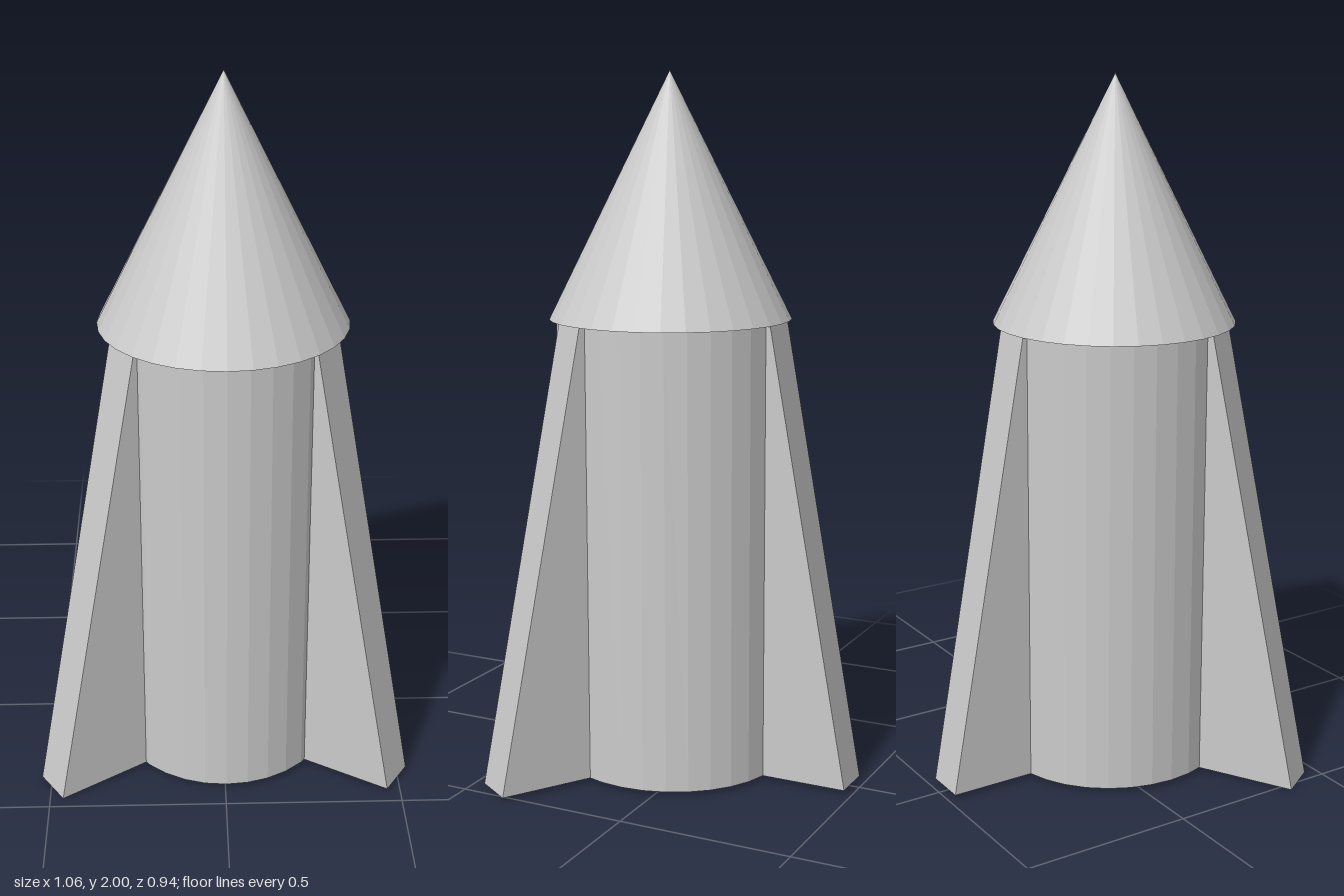
import * as THREE from 'three';

const SEGMENTS = 32;
const BASE_Y = 0.01, SHOULDER_Y = 1.31, TOP_Y = 2;

export function createModel() {
  const material = new THREE.MeshStandardMaterial({ color: 0xcccccc, flatShading: true });
  const model = new THREE.Group();
  model.name = 'rocket';

  // Everything shares one vertical axis, set forward of the origin
  const rocket = new THREE.Group();
  rocket.name = 'rocketAxis';
  rocket.position.set(0.003, 0, 0.095);
  model.add(rocket);

  const add = (name, geometry) => {
    const mesh = new THREE.Mesh(geometry, material);
    mesh.name = name;
    rocket.add(mesh);
    return mesh;
  };

  // Nose cone, overhanging the body
  const noseHeight = TOP_Y - SHOULDER_Y;
  const nose = add('noseCone', new THREE.ConeGeometry(0.345, noseHeight, SEGMENTS));
  nose.position.y = SHOULDER_Y + noseHeight / 2;

  // Hollow body tube with a thin wall, slightly oval
  const wall = [[0.298, SHOULDER_Y], [0.298, BASE_Y], [0.313, BASE_Y], [0.313, SHOULDER_Y]]
    .map(([r, y]) => new THREE.Vector2(r, y));
  add('bodyTube', new THREE.LatheGeometry(wall, SEGMENTS).scale(1, 1, 1.054));

  // Tapered fins: a profile in the radial plane, extruded to the fin thickness
  const thickness = 0.122;
  const addFin = (name, degrees, root, tip, tipY) => {
    const profile = new THREE.Shape([
      new THREE.Vector2(root, BASE_Y),
      new THREE.Vector2(tip, tipY),
      new THREE.Vector2(root + 0.018, SHOULDER_Y),
      new THREE.Vector2(root, SHOULDER_Y),
    ]);
    const geometry = new THREE.ExtrudeGeometry(profile, { depth: thickness, bevelEnabled: false });
    geometry.translate(0, 0, -thickness / 2);
    add(name, geometry).rotation.y = THREE.MathUtils.degToRad(degrees);
  };
  addFin('backFin', 90, 0.318, 0.573, BASE_Y);
  addFin('leftFin', -32.5, 0.306, 0.583, BASE_Y);
  addFin('rightFin', 212.5, 0.306, 0.592, 0);

  return model;
}
